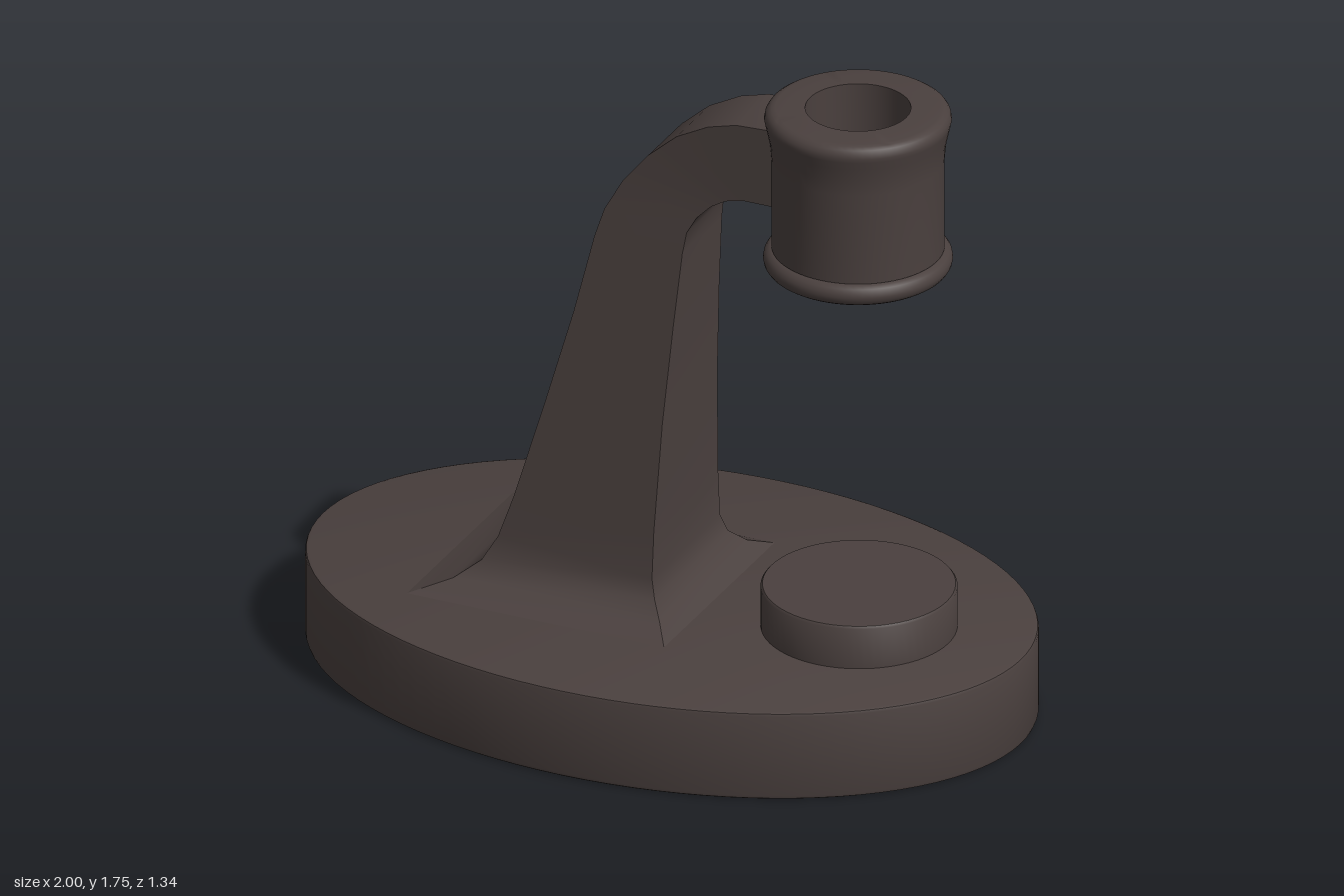
import * as THREE from 'three';
import { toCreasedNormals } from 'three/addons/utils/BufferGeometryUtils.js';

const iron = new THREE.MeshStandardMaterial({ color: 0x4a403e });
iron.name = 'dark iron';

// Turned part: profile runs up the outside, then inward
function turned(name, profile, segments, scaleZ = 1) {
  const pts = profile.map(([r, y]) => new THREE.Vector2(r, y));
  const geo = new THREE.LatheGeometry(pts, segments).scale(1, 1, scaleZ);
  const mesh = new THREE.Mesh(toCreasedNormals(geo, 0.7), iron);
  mesh.name = name;
  return mesh;
}

// Half-round bead for a flange rim, from y0 up to y1
function bead(r, y0, y1) {
  const h = (y1 - y0) / 2;
  return Array.from({ length: 9 }, (_, i) => {
    const a = -Math.PI / 2 + (i / 8) * Math.PI;
    return [r - h + h * Math.cos(a), y0 + h + h * Math.sin(a)];
  });
}

// Arm stations: outer x, y, inner x, y, half depth
const stations = [
  [-0.6, 0.25, 0.135, 0.25, 0.335],
  [-0.5, 0.285, 0.09, 0.28, 0.265],
  [-0.44, 0.33, 0.055, 0.32, 0.222],
  [-0.4, 0.4, 0.04, 0.37, 0.206],
  [-0.36, 0.52, 0.04, 0.5, 0.195],
  [-0.283, 0.8, 0.051, 0.8, 0.167],
  [-0.215, 1.06, 0.069, 1.07, 0.14],
  [-0.165, 1.28, 0.086, 1.28, 0.12],
  [-0.14, 1.36, 0.095, 1.34, 0.113],
  [-0.09, 1.45, 0.12, 1.385, 0.106],
  [-0.02, 1.535, 0.16, 1.425, 0.102],
  [0.06, 1.605, 0.2, 1.448, 0.1],
  [0.15, 1.652, 0.25, 1.46, 0.1],
  [0.23, 1.674, 0.3, 1.46, 0.1],
  [0.36, 1.68, 0.36, 1.46, 0.1],
];

// Rectangular loft, each side a separate strip so long edges stay sharp
function loft() {
  const rings = stations.map(([ox, oy, ix, iy, d]) => [
    [ox, oy, d], [ix, iy, d], [ix, iy, -d], [ox, oy, -d],
  ]);
  const pos = [];
  const index = [];
  for (let side = 0; side < 4; side++) {
    const start = pos.length / 3;
    rings.forEach((ring, i) => {
      pos.push(...ring[side], ...ring[(side + 1) % 4]);
      if (i === 0) return;
      const a = start + (i - 1) * 2;
      index.push(a, a + 1, a + 3, a, a + 3, a + 2);
    });
  }
  const geo = new THREE.BufferGeometry();
  geo.setAttribute('position', new THREE.Float32BufferAttribute(pos, 3));
  geo.setIndex(index);
  geo.computeVertexNormals();
  return geo;
}

export function createModel() {
  const group = new THREE.Group();
  group.name = 'bracketStand';

  // Oval base with softened rims
  group.add(turned('base', [
    [0, 0], [0.988, 0], [0.997, 0.004], [1, 0.012],
    [1, 0.24], [0.997, 0.247], [0.988, 0.25], [0, 0.25],
  ], 96, 0.672));

  // Round pad under the socket
  const pad = turned('pad', [
    [0, 0.24], [0.255, 0.24], [0.255, 0.364], [0.25, 0.37], [0, 0.37],
  ], 64);
  pad.position.x = 0.535;
  group.add(pad);

  // Tapered, curved arm
  const arm = new THREE.Mesh(loft(), iron);
  arm.name = 'arm';
  group.add(arm);

  // Hollow socket with a flange at each end
  const socket = turned('socket', [
    [0.137, 1.285],
    ...bead(0.246, 1.285, 1.345),
    [0.224, 1.346], [0.224, 1.6], [0.228, 1.645], [0.236, 1.682],
    ...bead(0.243, 1.685, 1.745).slice(3),
    [0.137, 1.745], [0.137, 1.285],
  ], 64);
  socket.position.x = 0.532;
  group.add(socket);

  return group;
}
